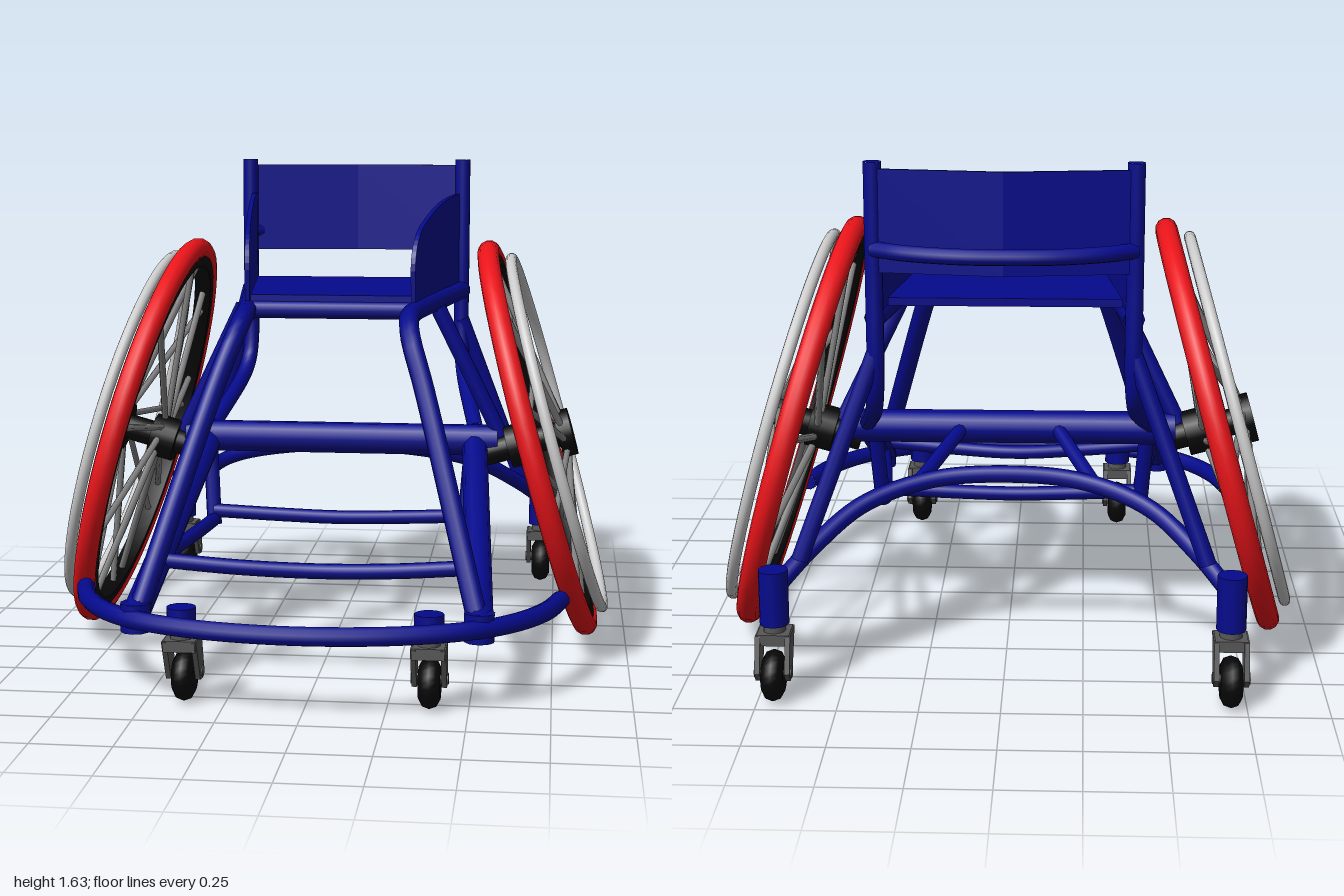
import * as THREE from 'three';
import { mergeGeometries } from 'three/addons/utils/BufferGeometryUtils.js';

const mat = (color, side = THREE.FrontSide) => new THREE.MeshStandardMaterial({ color, side });
const blue = mat(0x050a8c), panelBlue = mat(0x050a8c, THREE.DoubleSide), red = mat(0xea141a);
const black = mat(0x070707), silver = mat(0xbcbcbc), spokeGrey = mat(0x858585), forkGrey = mat(0x585858);
const V = (x, y, z) => new THREE.Vector3(x, y, z);
const shapeOf = pts => new THREE.Shape(pts.map(p => new THREE.Vector2(...p)));

function add(parent, name, geo, material, x = 0, y = 0, z = 0) {
  const m = new THREE.Mesh(geo, material);
  m.name = name;
  m.position.set(x, y, z);
  parent.add(m);
  return m;
}

// capped tube through points; two points give a straight tube
function tubeGeo(pts, r, radial = 10) {
  const v = pts.map(p => V(...p));
  const curve = v.length === 2 ? new THREE.LineCurve3(v[0], v[1]) : new THREE.CatmullRomCurve3(v);
  const parts = [new THREE.TubeGeometry(curve, v.length === 2 ? 1 : v.length * 6, r, radial)];
  for (const t of [0, 1]) {
    const dir = curve.getTangent(t).multiplyScalar(t ? 1 : -1);
    const cap = new THREE.CircleGeometry(r, radial);
    cap.applyQuaternion(new THREE.Quaternion().setFromUnitVectors(V(0, 0, 1), dir));
    const p = curve.getPoint(t);
    parts.push(cap.translate(p.x, p.y, p.z));
  }
  return mergeGeometries(parts);
}
const tube = (parent, name, pts, r) => add(parent, name, tubeGeo(pts, r), blue);

// symmetric tube: half path from the outside to the centre line, mirrored
const spanTube = (parent, name, half, r) =>
  tube(parent, name, [...half, ...half.filter(p => p[0] !== 0).reverse().map(([x, y, z]) => [-x, y, z])], r);

// large cambered wheel; local x is the axle, s is the outward direction
function driveWheel(s) {
  const g = new THREE.Group();
  g.name = s > 0 ? 'leftWheel' : 'rightWheel';
  g.position.set(s * 0.69, 0.69, -0.185);
  g.rotation.z = s * 0.272;
  const ring = (name, R, r, m, off) =>
    add(g, name, new THREE.TorusGeometry(R, r, 12, 56).rotateY(Math.PI / 2), m, s * off);
  ring('tire', 0.668, 0.037, red, 0);
  ring('pushRim', 0.623, 0.019, silver, 0.068);
  const rimProfile = [[0.612, -0.03], [0.65, -0.03], [0.65, 0.03], [0.612, 0.03], [0.612, -0.03]];
  add(g, 'rim', new THREE.LatheGeometry(rimProfile.map(p => new THREE.Vector2(...p)), 56)
    .rotateZ(Math.PI / 2), black);
  // hub: shaft, outer cap and inner flange
  for (const [name, r, len, off] of [['hubShaft', 0.045, 0.32, -0.04], ['hubCap', 0.083, 0.05, 0.095], ['hubFlange', 0.075, 0.09, -0.065]])
    add(g, name, new THREE.CylinderGeometry(r, r, len, 20).rotateZ(Math.PI / 2), black, s * off, -0.01, 0);
  // pairs of spokes, one from each flange
  const spokes = [], pairs = 9;
  for (let i = 0; i < pairs; i++) {
    for (const d of [-1, 1]) {
      const a = 1.66 + i * 2 * Math.PI / pairs + d * 0.09, b = a - d * 0.6, off = d > 0 ? 0.09 : -0.05;
      spokes.push(tubeGeo([[s * off, 0.06 * Math.sin(b) - 0.01, 0.06 * Math.cos(b)],
        [0, 0.62 * Math.sin(a), 0.62 * Math.cos(a)]], 0.012, 6));
    }
  }
  add(g, 'spokes', mergeGeometries(spokes), spokeGrey);
  return g;
}

// small trailing swivel wheel under a vertical stem
function caster(name, x, z, stemTop) {
  const g = new THREE.Group();
  g.name = name;
  g.position.set(x, 0, z);
  add(g, 'stem', new THREE.CylinderGeometry(0.046, 0.046, stemTop - 0.235, 12), blue, 0, (stemTop + 0.235) / 2, 0);
  add(g, 'swivel', new THREE.CylinderGeometry(0.035, 0.035, 0.05, 12), forkGrey, 0, 0.22, 0);
  add(g, 'crown', new THREE.BoxGeometry(0.1, 0.035, 0.095), forkGrey, 0, 0.195, 0);
  const plate = shapeOf([[-0.05, 0.21], [0.05, 0.21], [0.085, 0.1], [0.06, 0.07], [0.02, 0.075]]);
  for (const s of [-1, 1]) {
    const geo = new THREE.ExtrudeGeometry(plate, { depth: 0.016, bevelEnabled: false }).translate(0, 0, -0.008);
    add(g, 'forkPlate', geo.rotateY(Math.PI / 2), forkGrey, s * 0.046, 0, 0);
  }
  add(g, 'axleBolt', new THREE.CylinderGeometry(0.018, 0.018, 0.116, 10).rotateZ(Math.PI / 2), forkGrey, 0, 0.095, -0.05);
  const profile = [[0, -0.034], [0.05, -0.034], [0.072, -0.022], [0.08, 0], [0.072, 0.022], [0.05, 0.034], [0, 0.034]];
  add(g, 'casterWheel', new THREE.LatheGeometry(profile.map(p => new THREE.Vector2(...p)), 24)
    .rotateZ(Math.PI / 2), black, 0, 0.082, -0.045);
  return g;
}

export function createModel() {
  const model = new THREE.Group();
  model.name = 'sportsWheelchair';
  const frame = new THREE.Group();
  frame.name = 'frame';
  model.add(frame);

  // seat panel
  add(model, 'seat', new THREE.ExtrudeGeometry(shapeOf([[-0.27, -0.13], [0.27, -0.13], [0.36, 0.62], [-0.36, 0.62]]),
    { depth: 0.025, bevelEnabled: false }).rotateX(-Math.PI / 2), blue, 0, 1.18, 0);

  // backrest: thin panel folded slightly backwards at the middle
  const backShape = shapeOf([[-0.385, 0.69], [0, 0.74], [0.385, 0.69], [0.385, 0.7], [0, 0.75], [-0.385, 0.7]]);
  add(model, 'backrest', new THREE.ExtrudeGeometry(backShape, { depth: 0.315, bevelEnabled: false })
    .rotateX(-Math.PI / 2), panelBlue, 0, 1.3, 0);

  // side guard outline: forward distance from the back post, height
  const guard = new THREE.Shape();
  guard.moveTo(0, 1.15);
  guard.lineTo(0.84, 1.15);
  guard.lineTo(0.85, 1.29);
  guard.bezierCurveTo(0.85, 1.37, 0.77, 1.42, 0.66, 1.44);
  guard.bezierCurveTo(0.45, 1.49, 0.25, 1.51, 0, 1.51);
  guard.closePath();

  for (const s of [1, -1]) {
    const side = s > 0 ? 'left' : 'right';
    const guardGeo = new THREE.ExtrudeGeometry(guard, { depth: 0.016, bevelEnabled: false, curveSegments: 10 });
    add(model, side + 'SideGuard', guardGeo.translate(0, 0, -0.008), panelBlue, s * 0.38, 0, -0.68)
      .rotation.y = Math.atan2(-0.85, -s * 0.105);

    const t = (name, pts, r) => tube(frame, side + name, pts.map(([x, y, z]) => [s * x, y, z]), r);
    // seat rail running forward and down to the bumper
    t('SeatRail', [[0.395, 1.155, -0.68], [0.335, 1.155, -0.25], [0.28, 1.155, 0.15], [0.272, 1.145, 0.27],
      [0.285, 1.09, 0.37], [0.335, 0.94, 0.455], [0.53, 0.26, 0.79]], 0.033);
    // back post with a bend towards the axle
    t('BackPost', [[0.395, 1.635, -0.68], [0.395, 1.3, -0.68], [0.395, 0.98, -0.68], [0.4, 0.9, -0.66],
      [0.41, 0.845, -0.6], [0.47, 0.7, -0.25]], 0.028);
    t('LowerRail', [[0.53, 0.27, 0.8], [0.47, 0.66, -0.18]], 0.044);
    t('AxleStrut', [[0.34, 1.14, -0.15], [0.56, 0.69, -0.19]], 0.028);
    t('RearStrut', [[0.395, 1.05, -0.68], [0.63, 0.41, -0.785]], 0.028);
    t('ArchBrace', [[0.15, 0.68, -0.2], [0.28, 0.58, -0.52]], 0.024);
    t('FootRail', [[0.5, 0.39, 0.5], [0.45, 0.395, 0.1], [0.44, 0.39, -0.08]], 0.024);
    t('FootRailUpright', [[0.44, 0.37, -0.1], [0.46, 0.66, -0.15]], 0.026);
    t('BumperSocket', [[0.53, 0.22, 0.79], [0.53, 0.31, 0.79]], 0.048);

    model.add(caster(side + 'FrontCaster', s * 0.38, 0.825, 0.31));
    model.add(caster(side + 'RearCaster', s * 0.7, -0.875, 0.41));
    model.add(driveWheel(s));
  }

  // cross members
  tube(frame, 'axleBeam', [[-0.55, 0.672, -0.195], [0.55, 0.672, -0.195]], 0.055);
  tube(frame, 'frontSeatBar', [[-0.28, 1.155, 0.12], [0.28, 1.155, 0.12]], 0.03);
  spanTube(frame, 'footRearBar', [[0.44, 0.42, -0.1], [0.2, 0.41, -0.1], [0, 0.405, -0.1]], 0.024);
  spanTube(frame, 'footFrontBar', [[0.5, 0.39, 0.55], [0.25, 0.37, 0.54], [0, 0.36, 0.525]], 0.025);
  spanTube(frame, 'rearArch', [[0.7, 0.34, -0.86], [0.6, 0.43, -0.74], [0.45, 0.53, -0.6], [0.24, 0.585, -0.51], [0, 0.6, -0.49]], 0.028);
  spanTube(frame, 'pushBar', [[0.395, 1.37, -0.69], [0.3, 1.37, -0.75], [0.15, 1.37, -0.797], [0, 1.37, -0.808]], 0.025);
  spanTube(frame, 'bumper', [[0.775, 0.265, 0.43], [0.73, 0.265, 0.58], [0.645, 0.265, 0.72], [0.515, 0.265, 0.835],
    [0.29, 0.265, 0.925], [0, 0.265, 0.96]], 0.03);
  return model;
}
